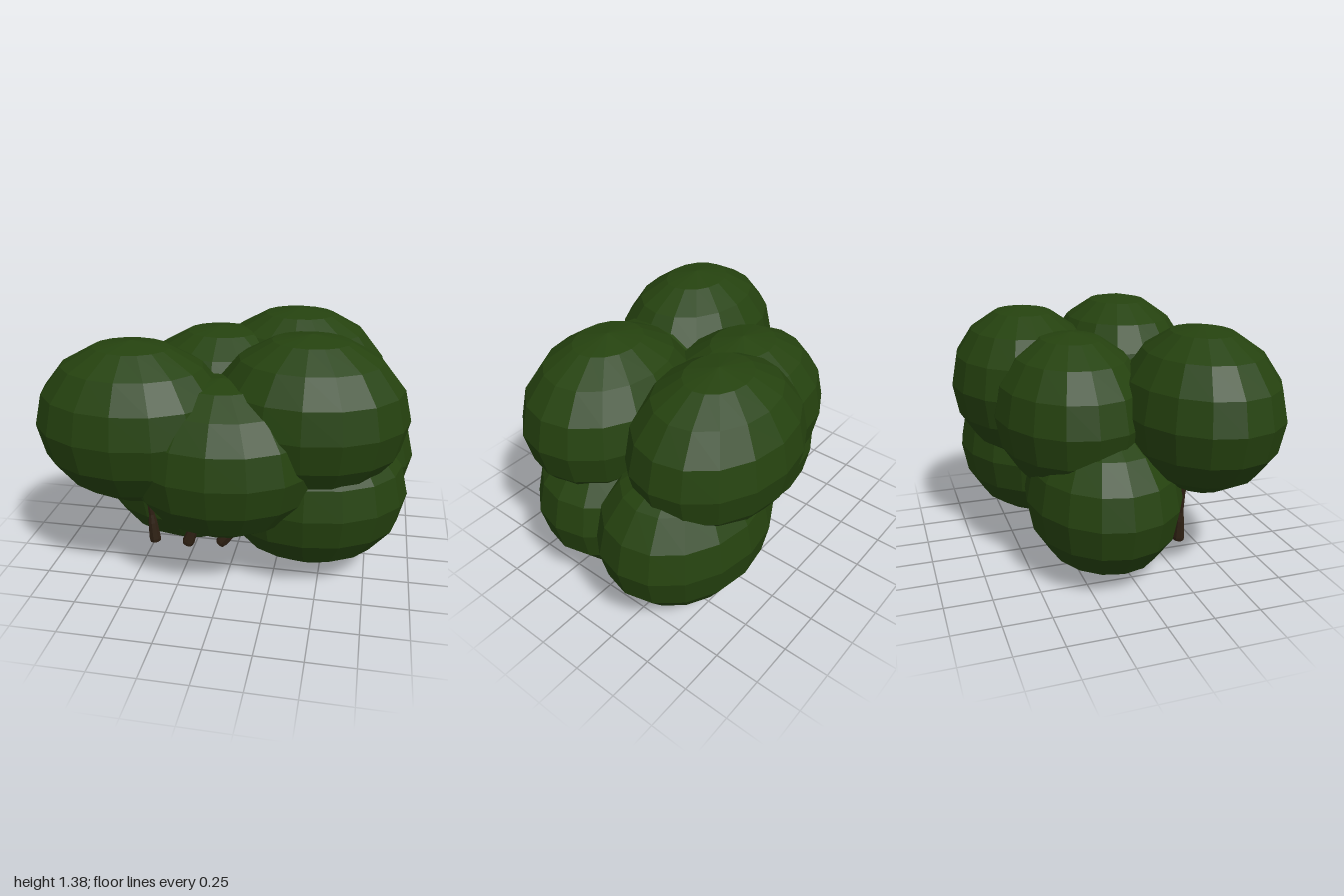
import * as THREE from 'three';

export function createModel() {
  const model = new THREE.Group();
  model.name = 'bush';

  const leafGreen = new THREE.MeshStandardMaterial({ color: 0x25420f, flatShading: true });
  leafGreen.name = 'leaf green';
  const barkBrown = new THREE.MeshStandardMaterial({ color: 0x2e2013, flatShading: true });
  barkBrown.name = 'bark brown';

  // Leaf clumps: the same faceted ellipsoid, placed at each centre
  const clump = new THREE.SphereGeometry(1, 16, 8).scale(0.52, 0.43, 0.415);
  const clumps = {
    upperRightFrontClump: [-0.48, 0.915, 0.37],
    frontCentreClump: [-0.02, 0.745, 0.375],
    upperLeftFrontClump: [0.41, 0.95, 0.22],
    upperLeftBackClump: [0.29, 0.93, -0.38],
    upperRightBackClump: [-0.13, 0.85, -0.22],
    lowerLeftFrontClump: [0.43, 0.5, 0.15],
    lowerLeftBackClump: [0.47, 0.51, -0.325],
    lowerRightClump: [-0.3, 0.43, -0.1],
  };
  for (const [name, position] of Object.entries(clumps)) {
    const mesh = new THREE.Mesh(clump, leafGreen);
    mesh.name = name;
    mesh.position.set(...position);
    model.add(mesh);
  }

  // Stems: thick foot, narrow waist, widening again into the leaves
  const stemProfile = [[0, 0], [0.03, 0], [0.034, 0.02], [0.026, 0.12], [0.017, 0.17], [0.02, 0.28], [0.028, 0.36], [0, 0.36]]
    .map(([r, y]) => new THREE.Vector2(r, y));
  const stem = new THREE.LatheGeometry(stemProfile, 8);
  const stems = [
    [[-0.425, 0.145, 0.3], [-0.455, 0.5, 0.3]],
    [[-0.235, 0.15, 0.31], [-0.13, 0.45, 0.3]],
    [[-0.055, 0.15, 0.27], [0.12, 0.36, 0.28]],
  ];
  const up = new THREE.Vector3(0, 1, 0);
  stems.forEach(([foot, top], i) => {
    const start = new THREE.Vector3(...foot);
    const direction = new THREE.Vector3(...top).sub(start).normalize();
    const mesh = new THREE.Mesh(stem, barkBrown);
    mesh.name = `stem${i + 1}`;
    mesh.position.copy(start);
    mesh.quaternion.setFromUnitVectors(up, direction);
    model.add(mesh);
  });

  return model;
}
